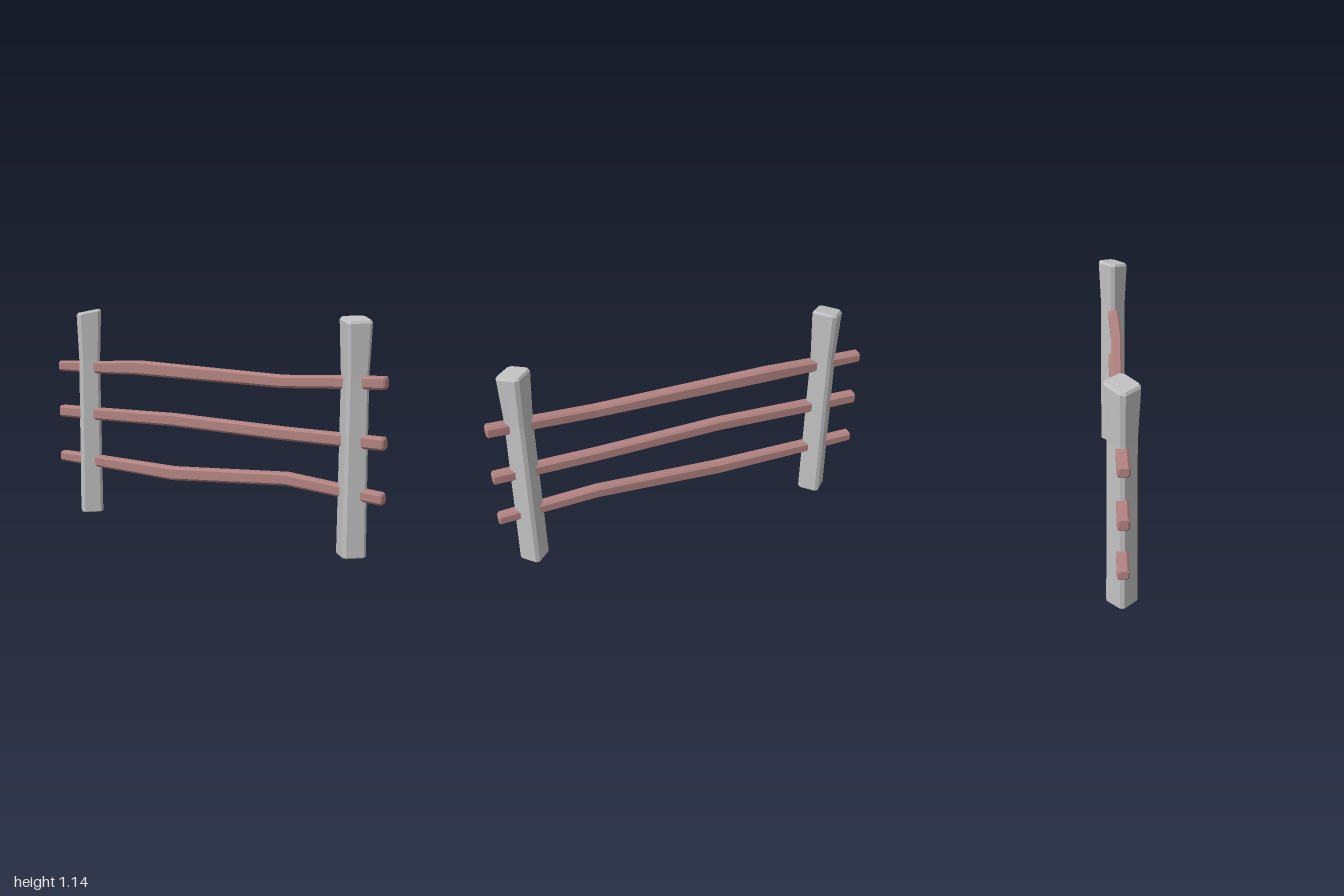
import * as THREE from 'three';

// Skin over a list of closed rings (arrays of Vector3) with flat end caps.
// Rings run anticlockwise when seen from the end the loft travels towards.
function loft(rings) {
  const n = rings[0].length;
  const pos = [];
  const tri = (...pts) => pts.forEach((p) => pos.push(p.x, p.y, p.z));
  for (let i = 0; i < rings.length - 1; i++) {
    const a = rings[i], b = rings[i + 1];
    for (let j = 0; j < n; j++) {
      const k = (j + 1) % n;
      tri(a[j], a[k], b[k]);
      tri(a[j], b[k], b[j]);
    }
  }
  const first = rings[0], last = rings[rings.length - 1];
  for (let j = 1; j < n - 1; j++) {
    tri(first[0], first[j + 1], first[j]);
    tri(last[0], last[j], last[j + 1]);
  }
  const g = new THREE.BufferGeometry();
  g.setAttribute('position', new THREE.Float32BufferAttribute(pos, 3));
  g.computeVertexNormals(); // unshared vertices give flat facets
  return g;
}

// Diamond section with clipped corners; the top is cut at a slant.
function postGeometry(slopeX, slopeZ) {
  const ring = (r, c, y, slant) => {
    const pts = [[r, c], [r, -c], [c, -r], [-c, -r], [-r, -c], [-r, c], [-c, r], [c, r]];
    return pts.map(([x, z]) => new THREE.Vector3(x, y + slant * (x * slopeX + z * slopeZ), z));
  };
  return loft([
    ring(0.068, 0.010, 0, 0),
    ring(0.073, 0.011, 0.006, 0),
    ring(0.067, 0.011, 0.86, 0),
    ring(0.079, 0.012, 1.118, 1),
    ring(0.070, 0.010, 1.130, 1),
  ]);
}

// Bevelled rectangular section swept along x through [x, y, z, height] stations.
function railGeometry(stations) {
  const ring = ([x, y, z, h], inset = 0) => {
    const a = h / 2 - inset, b = 0.029 - inset, c = 0.011 - inset * 0.3;
    const pts = [[a, b - c], [a - c, b], [c - a, b], [-a, b - c],
      [-a, c - b], [c - a, -b], [a - c, -b], [a, c - b]];
    return pts.map(([dy, dz]) => new THREE.Vector3(x, y + dy, z + dz));
  };
  const s = stations[0], e = stations[stations.length - 1];
  const shift = (p, dx) => [p[0] + dx, p[1], p[2], p[3]];
  return loft([
    ring(s, 0.008),
    ring(shift(s, 0.008)),
    ...stations.slice(1, -1).map((p) => ring(p)),
    ring(shift(e, -0.008)),
    ring(e, 0.008),
  ]);
}

export function createModel() {
  const stone = new THREE.MeshStandardMaterial({ color: 0xc2c2c2 });
  stone.name = 'grey post';
  const wood = new THREE.MeshStandardMaterial({ color: 0xb08280 });
  wood.name = 'reddish wood';

  const group = new THREE.Group();
  group.name = 'fence';
  const add = (name, geometry, material, x = 0) => {
    const mesh = new THREE.Mesh(geometry, material);
    mesh.name = name;
    mesh.position.x = x;
    group.add(mesh);
  };

  // Posts
  add('rightPost', postGeometry(0.16, -0.12), stone, -0.786);
  add('leftPost', postGeometry(-0.10, -0.13), stone, 0.838);

  // Rails, each slightly crooked and running through both posts
  add('topRail', railGeometry([
    [-1, 0.816, 0, 0.056], [-0.73, 0.82, -0.002, 0.066], [-0.45, 0.832, -0.012, 0.076],
    [0.46, 0.815, 0.011, 0.062], [0.78, 0.831, 0.003, 0.062], [1, 0.839, 0, 0.062],
  ]), wood);
  add('middleRail', railGeometry([
    [-1, 0.557, 0, 0.064], [-0.73, 0.56, 0.002, 0.066], [-0.2, 0.571, 0.008, 0.066],
    [0.46, 0.558, 0.002, 0.064], [1, 0.557, 0, 0.062],
  ]), wood);
  add('bottomRail', railGeometry([
    [-1, 0.296, 0, 0.056], [-0.73, 0.292, 0.001, 0.062], [-0.2, 0.283, 0.01, 0.070],
    [0.48, 0.331, -0.008, 0.064], [0.78, 0.311, -0.002, 0.060], [1, 0.297, 0, 0.058],
  ]), wood);

  return group;
}
